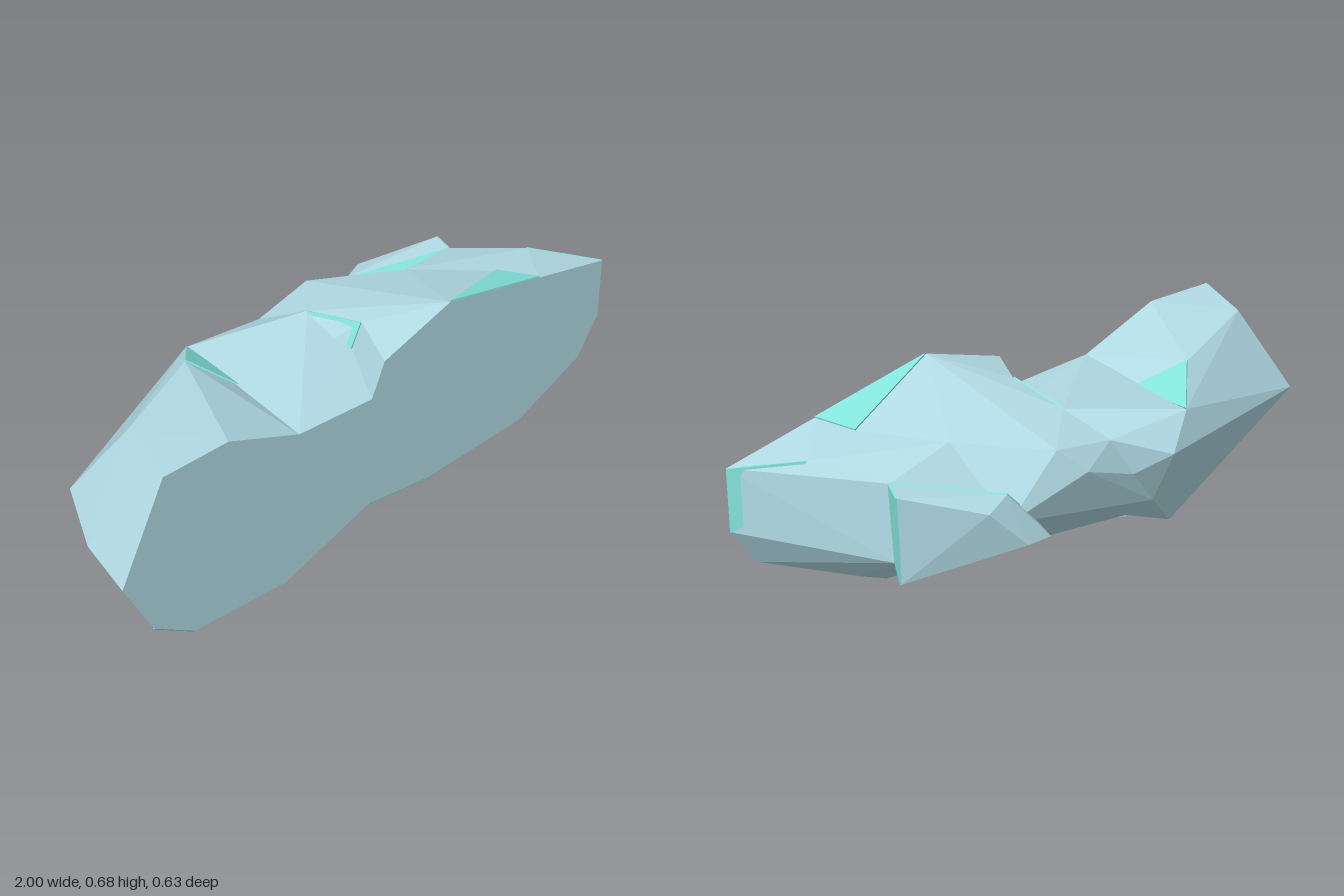
import * as THREE from 'three';
import { ConvexGeometry } from 'three/addons/geometries/ConvexGeometry.js';

const FRONT = 0.314; // flat cut plane of the rock
const points = (...list) => list.map(([x, y, z = FRONT]) => new THREE.Vector3(x, y, z));

// outline of the flat front: upper edge, then lower edge, both from -x to +x
const [tip, leftTop, leftBrow, dipStart, dipEnd, step, peak, rightTop] = points(
  [-1, 0.33], [-0.84, 0.635], [-0.6, 0.63], [-0.33, 0.515],
  [-0.035, 0.49], [0.015, 0.6], [0.29, 0.68], [1, 0.51]);
const [leftSide, leftFoot, foot, arch, midFoot, rightFoot, rightSide, rightEdge] = points(
  [-0.895, 0.13], [-0.745, 0.03], [-0.385, 0], [-0.04, 0.105],
  [0.22, 0.065], [0.64, 0.07], [0.915, 0.18], [1, 0.305]);
const shoulder = peak.clone().lerp(rightTop, 0.57);

// corners behind the front, from -x to +x
const [cheek, flank, crown, ridge, ridgeEnd, dipSide, backBulge] = points(
  [-0.96, 0.35, 0.12], [-0.86, 0.39, -0.075], [-0.765, 0.63, 0.08],
  [-0.405, 0.605, -0.085], [-0.28, 0.525, -0.225], [-0.285, 0.51, 0.03],
  [-0.175, 0.43, -0.29]);
const [belly, hip, underside, sole] = points(
  [-0.33, 0.09, -0.1], [-0.34, 0.035, 0.09], [-0.7, 0.13, 0.125], [-0.62, 0.042, 0.2]);
const [rim, rimBase, rimBack, dipBack, waist, waistLow, hollow] = points(
  [0.1, 0.61, 0.135], [0.066, 0.53, 0.13], [0.07, 0.57, -0.065], [0.005, 0.5, -0.21],
  [-0.06, 0.38, -0.24], [-0.16, 0.255, -0.215], [-0.13, 0.178, -0.125]);
const [summitBack, backFace, crease, grooveFloor, keel] = points(
  [0.22, 0.535, -0.225], [0.135, 0.455, -0.265], [0.46, 0.56, -0.03],
  [0.4, 0.36, -0.235], [0.58, 0.085, 0.14]);
const [slope, sideTop, sideMid, neckTop, neckLow, sideLow] = points(
  [0.64, 0.572, 0.185], [0.835, 0.55, 0.14], [0.92, 0.37, 0.23],
  [0.7, 0.515, -0.07], [0.7, 0.27, -0.09], [0.71, 0.157, 0.09]);
const [knobEnd, knobBack, knobTop, knobSide, knobRidge, knobInner, knobLow] = points(
  [0.285, 0.3, -0.28], [0.395, 0.32, -0.315], [0.51, 0.44, -0.285], [0.73, 0.508, -0.15],
  [0.41, 0.455, -0.237], [0.3, 0.34, -0.225], [0.72, 0.23, -0.145]);

// each chunk is a faceted boulder, with mineral facets between some of its corners
const chunks = {
  leftBoulder: {
    corners: [tip, leftTop, leftBrow, dipStart, leftSide, leftFoot, foot, cheek, flank,
      crown, ridgeEnd, dipSide, backBulge, belly, hip, underside, sole, waistLow],
    facets: [[leftFoot, leftSide, underside, sole]],
  },
  leftCrest: {
    corners: [leftTop, leftBrow, dipStart, crown, ridge, ridgeEnd, dipSide],
    facets: [[ridgeEnd, ridge, dipSide]],
  },
  saddle: {
    corners: [foot, dipStart, dipEnd, arch, dipSide, rimBase, rimBack, dipBack,
      ridgeEnd, backBulge, waist, waistLow, hollow, belly, hip],
    facets: [],
  },
  rimStep: {
    corners: [dipEnd, step, peak, arch, rim, rimBase],
    facets: [],
  },
  middleBoulder: {
    corners: [peak, shoulder, slope, rightFoot, midFoot, arch, rim, rimBase, rimBack, dipBack,
      crease, summitBack, backFace, waist, grooveFloor, waistLow, hollow, keel],
    facets: [[rim, rimBack, rimBase], [midFoot, arch, hollow], [peak, shoulder, slope]],
  },
  rightBoulder: {
    corners: [shoulder, rightTop, rightEdge, rightSide, rightFoot, midFoot, slope,
      sideTop, sideMid, crease, neckTop, neckLow, grooveFloor, sideLow, keel],
    facets: [[rightTop, sideTop, sideMid, rightEdge]],
  },
  backOutcrop: {
    corners: [knobEnd, knobBack, knobTop, knobSide, neckTop, knobRidge, knobInner,
      knobLow, neckLow],
    facets: [[neckTop, knobSide, knobLow, neckLow], [neckTop, knobRidge, knobInner]],
  },
};

// thin plate over the given corners, raised away from the chunk's centre
function plateGeometry(corners, centre) {
  const [a, b] = corners;
  const last = corners[corners.length - 1];
  const normal = b.clone().sub(a).cross(last.clone().sub(a)).normalize();
  if (normal.dot(a.clone().sub(centre)) < 0) normal.negate();
  const raised = corners.map((p) => p.clone().addScaledVector(normal, 0.005));
  return new ConvexGeometry([...corners, ...raised]);
}

export function createModel() {
  const stone = new THREE.MeshStandardMaterial({ color: 0xb2dce6 });
  stone.name = 'paleBlueStone';
  const mineral = new THREE.MeshStandardMaterial({ color: 0x84e6dc });
  mineral.name = 'tealMineral';

  const model = new THREE.Group();
  model.name = 'rock';
  for (const [name, { corners, facets }] of Object.entries(chunks)) {
    const boulder = new THREE.Mesh(new ConvexGeometry(corners), stone);
    boulder.name = name;
    model.add(boulder);

    // mineral facets
    const centre = new THREE.Vector3();
    corners.forEach((p) => centre.addScaledVector(p, 1 / corners.length));
    facets.forEach((facet, i) => {
      const plate = new THREE.Mesh(plateGeometry(facet, centre), mineral);
      plate.name = `${name}Facet${i + 1}`;
      model.add(plate);
    });
  }
  return model;
}
